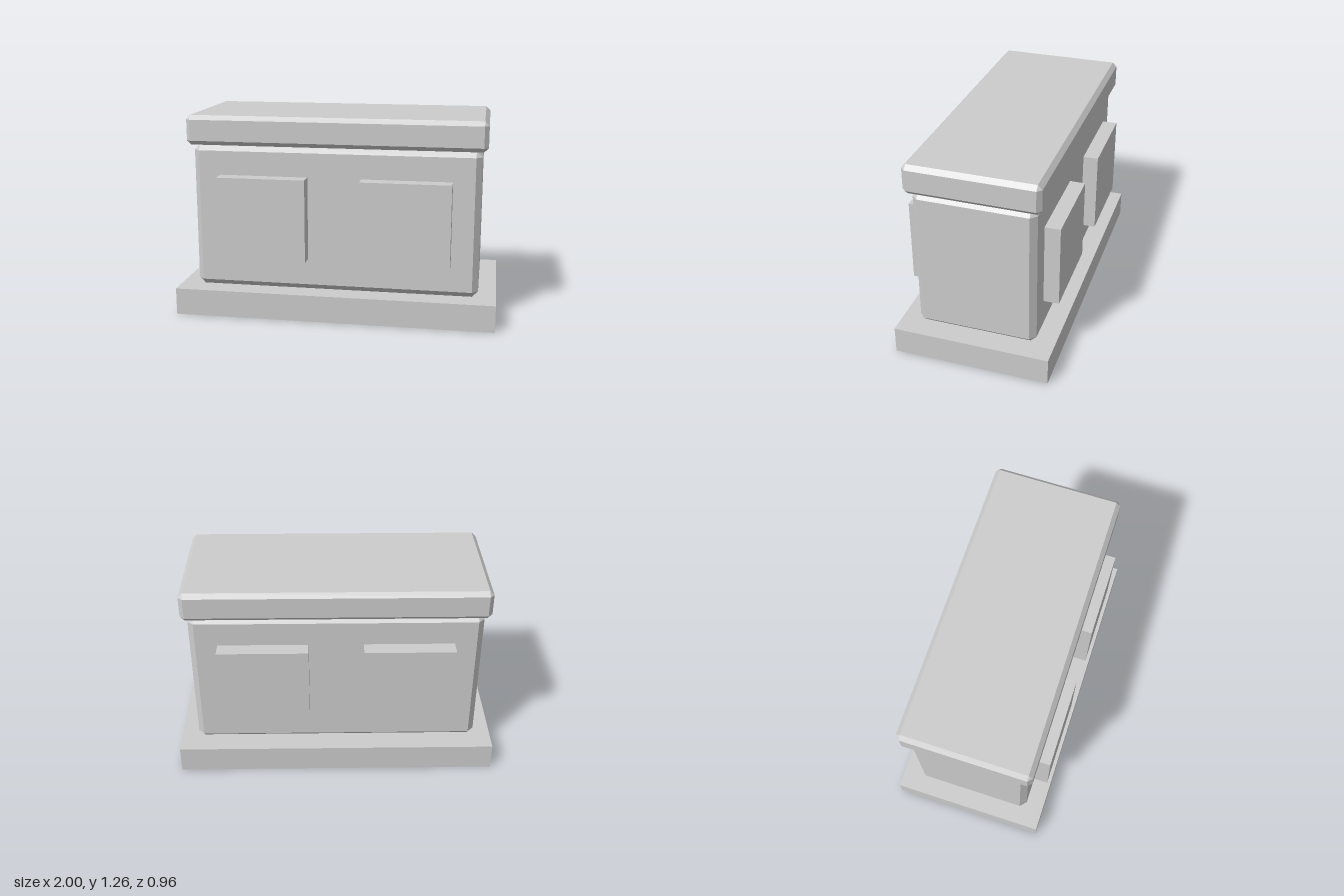
import * as THREE from 'three';
import { ConvexGeometry } from 'three/addons/geometries/ConvexGeometry.js';

const stone = new THREE.MeshStandardMaterial({ color: 0xcccccc });
stone.name = 'light grey stone';

// Box with all edges cut by a flat bevel, centred on the origin
function bevelledBox(w, h, d, bevel) {
  const half = [w / 2, h / 2, d / 2];
  const points = [];
  for (const sx of [-1, 1]) for (const sy of [-1, 1]) for (const sz of [-1, 1]) {
    const sign = [sx, sy, sz];
    // Each corner becomes three points, one on each adjoining face
    for (let face = 0; face < 3; face++) {
      points.push(new THREE.Vector3(
        ...half.map((v, axis) => sign[axis] * (axis === face ? v : v - bevel))
      ));
    }
  }
  return new ConvexGeometry(points);
}

export function createModel() {
  const model = new THREE.Group();
  model.name = 'stoneChest';

  const add = (name, geometry, x, y, z) => {
    const mesh = new THREE.Mesh(geometry, stone);
    mesh.name = name;
    mesh.position.set(x, y, z);
    model.add(mesh);
  };

  // Plinth, body and lid
  add('base', new THREE.BoxGeometry(2, 0.169, 0.964), 0, 0.0845, 0);
  add('body', bevelledBox(1.78, 0.909, 0.738, 0.037), 0, 0.6235, 0);
  add('lid', bevelledBox(1.846, 0.184, 0.812, 0.027), 0, 1.17, 0);

  // Raised panels, two on the front and two on the back
  const panel = new THREE.BoxGeometry(0.553, 0.518, 0.114);
  for (const [end, z] of [['front', 1], ['back', -1]]) {
    for (const [side, x] of [['Left', 1], ['Right', -1]]) {
      add(`${end}${side}Panel`, panel, x * 0.443, 0.632, z * 0.407);
    }
  }

  return model;
}
